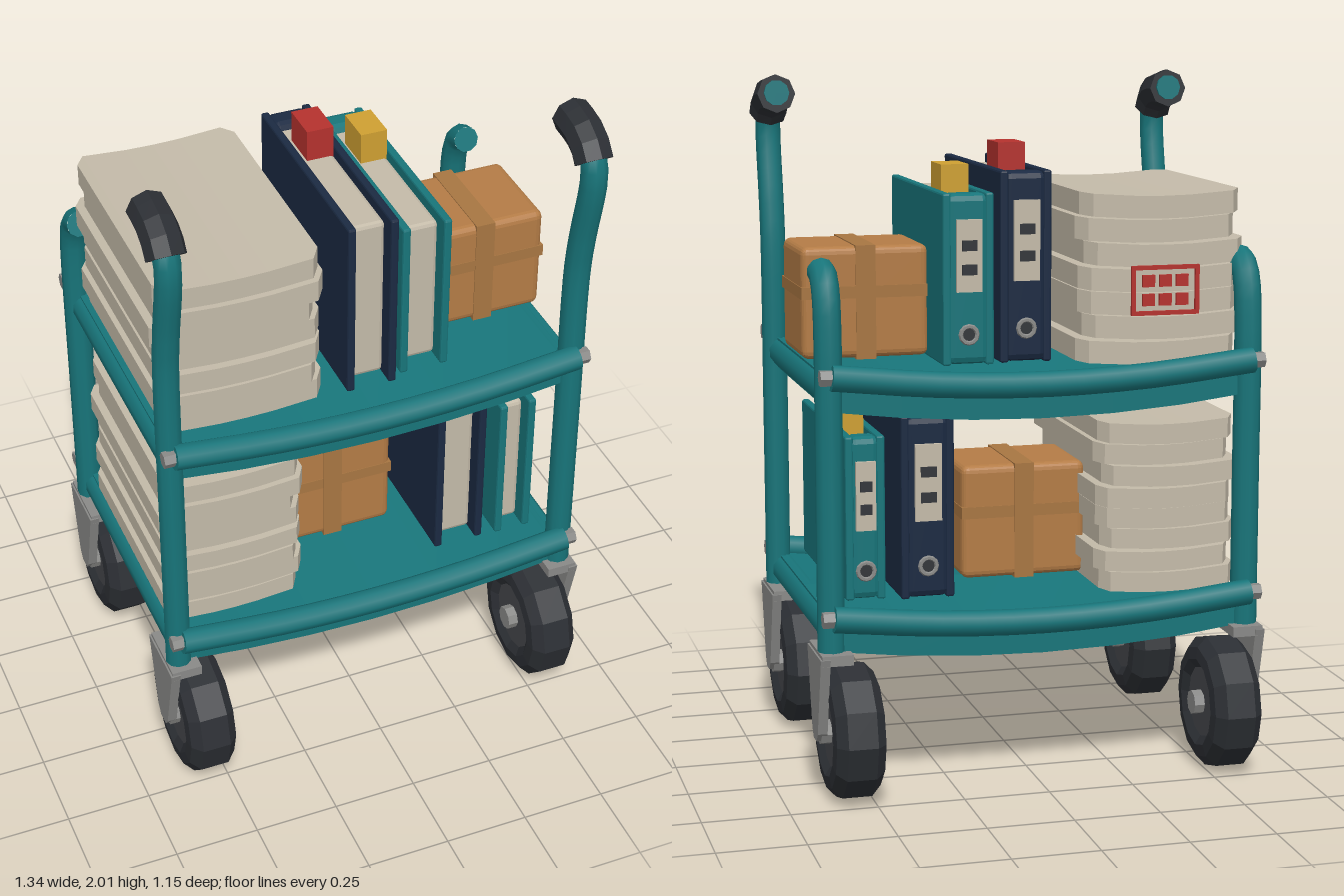
import * as THREE from 'three';
import { RoundedBoxGeometry } from 'three/addons/geometries/RoundedBoxGeometry.js';

const V = (x, y, z) => new THREE.Vector3(x, y, z);
const mat = (color, flatShading = false) => new THREE.MeshStandardMaterial({ color, flatShading });

export function createModel() {
  const root = new THREE.Group();
  const M = {
    teal: mat(0x18757a), tealFlat: mat(0x18757a, true), navy: mat(0x1b2a42, true),
    paper: mat(0xc4bba9, true), card: mat(0xb47c46, true), tape: mat(0xa87642, true),
    rubber: mat(0x2c2f34, true), rim: mat(0x45474b, true), metal: mat(0x8a8a88, true),
    red: mat(0xb5322e, true), yellow: mat(0xcfa032, true), dark: mat(0x33363a, true),
  };

  function add(parent, name, geometry, material, x = 0, y = 0, z = 0) {
    const m = new THREE.Mesh(geometry, material);
    m.name = name;
    m.position.set(x, y, z);
    parent.add(m);
    return m;
  }
  function group(name, parent = root) {
    const g = new THREE.Group();
    g.name = name;
    parent.add(g);
    return g;
  }
  const box = (p, name, m, w, h, d, x, y, z) => add(p, name, new THREE.BoxGeometry(w, h, d), m, x, y, z);

  // Capped round tube along a smooth path
  function tube(name, pts, r, material, segs = 20, sides = 10) {
    const g = group(name), curve = new THREE.CatmullRomCurve3(pts);
    add(g, name + 'Wall', new THREE.TubeGeometry(curve, segs, r, sides), material);
    for (const t of [0, 1]) {
      const p = curve.getPointAt(t), dir = curve.getTangentAt(t).multiplyScalar(t ? 1 : -1);
      const cap = add(g, name + 'End', new THREE.CircleGeometry(r, sides), material, p.x, p.y, p.z);
      cap.quaternion.setFromUnitVectors(V(0, 0, 1), dir);
    }
    return g;
  }

  // Frame posts and hand grips
  for (const s of [-1, 1]) {
    const x = s * 0.612;
    tube('frontPost', [V(x, 0.44, 0.418), V(x, 1, 0.418), V(x, 1.5, 0.42), V(x, 1.62, 0.436),
      V(x, 1.84, 0.476), V(x, 1.905, 0.46), V(x, 1.945, 0.4), V(x, 1.953, 0.313)], 0.038, M.teal, 32);
    tube('handGrip', [V(x, 1.885, 0.468), V(x, 1.915, 0.445), V(x, 1.94, 0.4), V(x, 1.95, 0.32)],
      0.057, M.rubber, 4, 8);
    tube('backPost', [V(x, 0.44, -0.413), V(x, 0.9, -0.413), V(x, 1.32, -0.413), V(x, 1.43, -0.4),
      V(x, 1.485, -0.37), V(x, 1.5, -0.325)], 0.039, M.teal, 28);
  }

  // Shelves: slab sagging along its front and back edges, side rails, bowed end rails with bolts
  for (const y of [0.53, 1.21]) {
    const slab = new THREE.BoxGeometry(1.22, 0.09, 0.86, 6, 1, 2), p = slab.attributes.position;
    for (let i = 0; i < p.count; i++) {
      const u = p.getX(i) / 0.61, v = Math.abs(p.getZ(i)) / 0.43;
      p.setY(i, p.getY(i) - 0.045 * (1 - u * u) * v);
    }
    add(root, 'shelf', slab, M.tealFlat, 0, y - 0.045, 0);
    for (const s of [-1, 1]) {
      tube('sideRail', [V(s * 0.59, y - 0.045, 0.4), V(s * 0.59, y - 0.045, -0.4)], 0.045, M.teal, 1);
      const z = s * 0.458;
      tube('endRail', [V(-0.612, y + 0.01, z), V(-0.3, y - 0.022, z), V(0, y - 0.033, z),
        V(0.3, y - 0.022, z), V(0.612, y + 0.01, z)], 0.037, M.teal, 12);
      for (const e of [-1, 1]) {
        add(root, 'bolt', new THREE.CylinderGeometry(0.024, 0.024, 0.035, 6), M.metal,
          e * 0.627, y + 0.01, z).rotation.z = Math.PI / 2;
      }
    }
  }

  // Casters
  const tyre = new THREE.LatheGeometry([[0.1, -0.055], [0.13, -0.074], [0.165, -0.07], [0.195, -0.042],
    [0.195, 0.042], [0.165, 0.07], [0.13, 0.074], [0.1, 0.055]].map(q => new THREE.Vector2(...q)), 12);
  const forkShape = new THREE.Shape([[-0.1, 0.43], [-0.04, 0.2], [-0.02, 0.175], [0.02, 0.175],
    [0.04, 0.2], [0.1, 0.43]].map(q => new THREE.Vector2(...q)));
  const fork = new THREE.ExtrudeGeometry(forkShape, { depth: 0.028, bevelEnabled: false });
  for (const sx of [-1, 1]) for (const sz of [-1, 1]) {
    const g = group('caster');
    g.position.set(sx * 0.555, 0, sz * 0.38);
    for (const [name, geo, m] of [
      ['tyre', tyre, M.rubber],
      ['rim', new THREE.CylinderGeometry(0.105, 0.105, 0.115, 12), M.rim],
      ['axle', new THREE.CylinderGeometry(0.036, 0.036, 0.175, 8), M.metal],
    ]) add(g, name, geo, m, 0, 0.196, 0).rotation.z = Math.PI / 2;
    add(g, 'casterPlate', fork, M.metal, sx > 0 ? 0.072 : -0.1, 0, 0).rotation.y = Math.PI / 2;
    box(g, 'casterMount', M.metal, 0.09, 0.03, 0.19, sx * 0.05, 0.425, 0);
  }

  // Paper bundle: slightly bowed sheet block with clipped corners
  function bundle(w, t, d) {
    const geo = new THREE.BoxGeometry(w, t, d, 6, 1, 6), p = geo.attributes.position;
    const spread = a => Math.abs(Math.abs(a) - 2 / 3) < 0.01 ? Math.sign(a) * 0.88 : a;
    for (let i = 0; i < p.count; i++) {
      let u = spread(p.getX(i) * 2 / w), v = spread(p.getZ(i) * 2 / d);
      if (Math.abs(u) > 0.99 && Math.abs(v) > 0.99) { u *= 0.94; v *= 0.94; }
      p.setXYZ(i, u * w / 2, p.getY(i) + 0.014 * u * u - 0.007, v * d / 2);
    }
    geo.computeVertexNormals();
    return geo;
  }
  function paperStack(x, y, z, w, h, d, count) {
    const g = group('paperStack'), step = h / count;
    for (let i = 0; i < count; i++) {
      const k = count - 1 - i;
      add(g, 'paperBundle', bundle(w, step * 0.93, d), M.paper, x + 0.013 * Math.sin(k * 2.3),
        y + step * (i + 0.5), z + 0.012 * Math.sin(k * 1.7));
    }
    return g;
  }
  const upperStack = paperStack(-0.37, 1.21, -0.005, 0.475, 0.485, 0.725, 7);
  paperStack(-0.405, 0.53, 0.018, 0.41, 0.5, 0.7, 8);

  // Red stamped panel on the back of the upper stack
  for (const s of [-1, 1]) {
    box(upperStack, 'stampEdge', M.red, 0.2, 0.012, 0.01, -0.37, 1.42 + s * 0.065, -0.388);
    box(upperStack, 'stampSide', M.red, 0.012, 0.14, 0.01, -0.37 + s * 0.095, 1.42, -0.388);
    for (const c of [-1, 0, 1]) {
      box(upperStack, 'stampMark', M.red, 0.036, 0.034, 0.01, -0.37 + c * 0.05, 1.42 + s * 0.027, -0.388);
    }
  }

  // Ring binder with spine at the back and a coloured tab on top
  function binder(x, y, w, h, zFront, zBack, cover, tab, tabX) {
    const g = group('binder'), d = zFront - zBack, zc = (zFront + zBack) / 2;
    for (const s of [-1, 1]) {
      add(g, 'cover', new RoundedBoxGeometry(0.024, h, d, 1, 0.006), cover, x + s * (w / 2 - 0.012), y + h / 2, zc);
    }
    add(g, 'spine', new RoundedBoxGeometry(w - 0.025, h - 0.005, 0.08, 1, 0.02), cover, x, y + h / 2, zBack + 0.04);
    add(g, 'pages', new RoundedBoxGeometry(w - 0.05, h - 0.04, d - 0.1, 1, 0.012), M.paper,
      x, y + h / 2 - 0.004, zBack + 0.06 + (d - 0.1) / 2);
    box(g, 'spineLabel', M.paper, w * 0.5, h * 0.42, 0.014, x, y + h * 0.64, zBack - 0.004);
    for (const f of [0.56, 0.7]) box(g, 'labelMark', M.dark, w * 0.3, 0.03, 0.006, x, y + h * f, zBack - 0.011);
    add(g, 'fingerRing', new THREE.TorusGeometry(0.024, 0.007, 6, 12), M.metal, x, y + h * 0.18, zBack - 0.002);
    add(g, 'fingerHole', new THREE.CircleGeometry(0.022, 12), M.dark, x, y + h * 0.18, zBack - 0.003).rotation.y = Math.PI;
    box(g, 'tab', tab, Math.min(0.08, w * 0.55), 0.1, 0.12, tabX, y + h + 0.02, zBack + 0.195);
  }
  binder(0.015, 1.215, 0.15, 0.545, 0.36, -0.3, M.navy, M.red, 0.022);
  binder(0.187, 1.215, 0.148, 0.487, 0.335, -0.315, M.tealFlat, M.yellow, 0.193);
  binder(0.307, 0.545, 0.155, 0.53, 0.36, -0.31, M.navy, M.red, 0.32);
  binder(0.483, 0.545, 0.115, 0.475, 0.365, -0.285, M.tealFlat, M.yellow, 0.49);

  // Cardboard boxes with tape bands
  function carton(x, y, z, w, h, d) {
    const g = group('cardboardBox');
    g.position.set(x, y + h / 2, z);
    add(g, 'carton', new RoundedBoxGeometry(w, h, d, 2, 0.022), M.card);
    box(g, 'crossTape', M.tape, 0.058, h + 0.006, d + 0.006, 0, 0, 0);
    box(g, 'waistTape', M.tape, w + 0.004, 0.035, d + 0.004, 0, 0.03, 0);
  }
  carton(0.442, 1.218, 0.025, 0.37, 0.322, 0.3);
  carton(-0.028, 0.545, 0.025, 0.375, 0.338, 0.3);

  return root;
}
